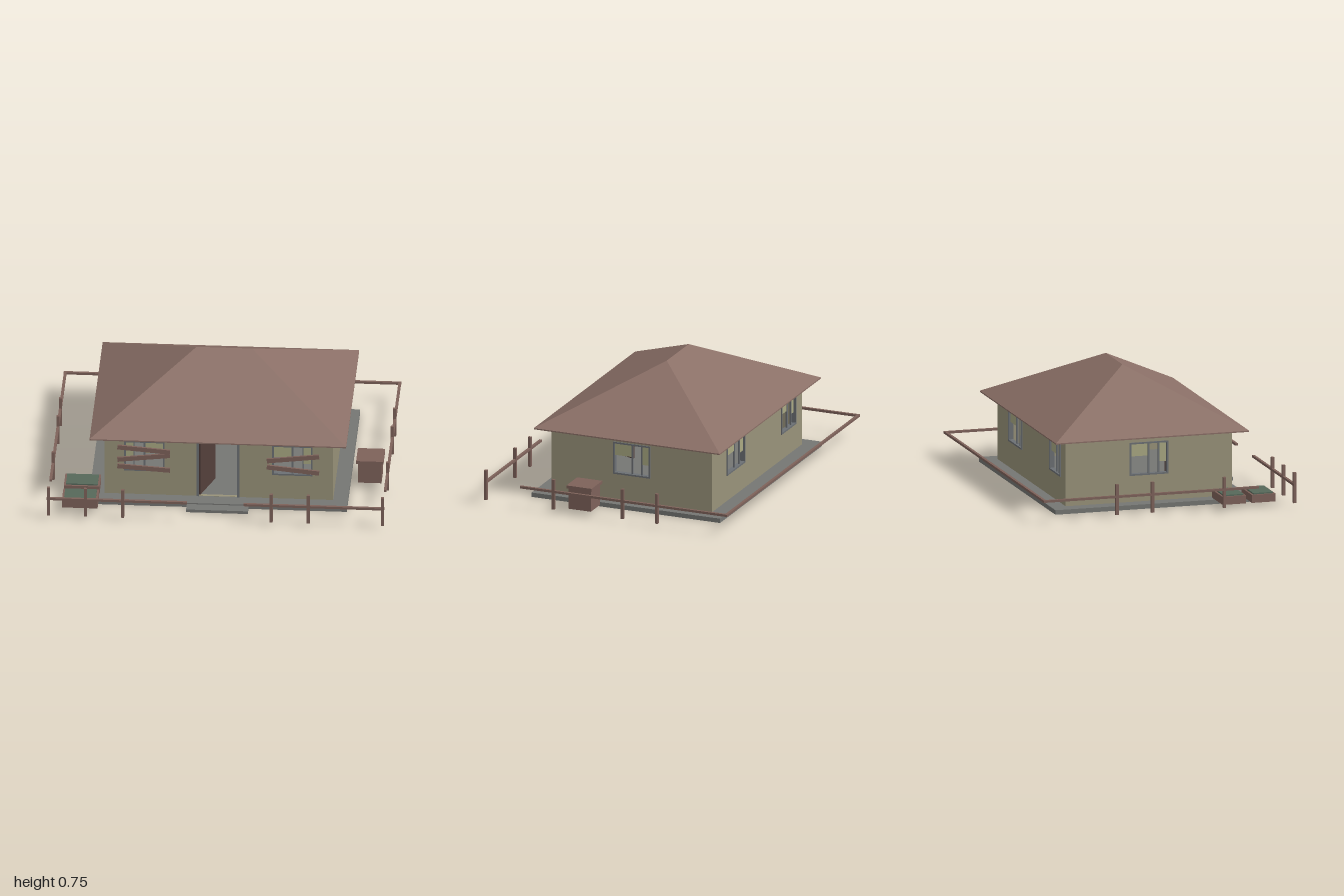
import * as THREE from 'three';

const mat = (name, color, side = THREE.FrontSide) => {
  const m = new THREE.MeshStandardMaterial({ color, side });
  m.name = name;
  return m;
};

export function createModel() {
  const root = new THREE.Group();
  root.name = 'abandonedHouse';
  const M = {
    wall: mat('olive plaster', 0x99937a),
    roof: mat('faded roof', 0x8a6f66, THREE.DoubleSide),
    stone: mat('grey concrete', 0x757673),
    frame: mat('grey frame', 0x6c7074),
    door: mat('dark door', 0x533f3b),
    wood: mat('weathered wood', 0x7e625a),
    plants: mat('dull green', 0x56685a),
    pane: mat('dusty pane', 0xaaa983),
  };

  // box given by its min and max corners
  const box = (parent, name, material, x0, x1, y0, y1, z0, z1) => {
    const m = new THREE.Mesh(new THREE.BoxGeometry(x1 - x0, y1 - y0, z1 - z0), material);
    m.position.set((x0 + x1) / 2, (y0 + y1) / 2, (z0 + z1) / 2);
    m.name = name;
    parent.add(m);
    return m;
  };

  // foundation and door step
  box(root, 'foundation', M.stone, -0.765, 0.765, 0, 0.027, -0.64, 0.572);
  box(root, 'doorStep', M.stone, -0.183, 0.183, 0.002, 0.02, 0.572, 0.64);

  // hipped roof with a thin eave
  const X = 0.76, Z0 = -0.635, Z1 = 0.56, E = 0.43, R = 0.165, ZR = -0.04, H = 0.745;
  const a = [-X, E, Z1], b = [X, E, Z1], c = [X, E, Z0], d = [-X, E, Z0];
  const l = [-R, H, ZR], r = [R, H, ZR];
  const roofGeo = new THREE.BufferGeometry();
  const tris = [a, b, r, a, r, l, b, c, r, c, d, l, c, l, r, d, a, l];
  roofGeo.setAttribute('position', new THREE.Float32BufferAttribute(tris.flat(), 3));
  roofGeo.computeVertexNormals();
  const roof = new THREE.Mesh(roofGeo, M.roof);
  roof.name = 'hippedRoof';
  root.add(roof);
  box(root, 'eave', M.roof, -X, X, 0.422, E - 0.0005, Z0, Z1);

  // window: frame, mullions and leftover panes, local z = 0 at the wall face
  const Y0 = 0.185, Y1 = 0.385, T = 0.02, F = 0.01;
  const addWindow = (parent, cx, w, flip) => {
    const g = new THREE.Group();
    g.name = 'window';
    g.position.x = cx;
    if (flip) g.rotation.y = Math.PI, g.position.z = -T;
    const h = w / 2, zb = -T - 0.005, zf = 0.005;
    for (const s of [-1, 1]) {
      const x = s * (h - F / 2);
      box(g, 'frameSide', M.frame, x - F / 2, x + F / 2, Y0, Y1, zb, zf);
      const y = s < 0 ? Y0 : Y1 - F;
      box(g, 'frameRail', M.frame, -h + F, h - F, y, y + F, zb, zf);
    }
    box(g, 'mullion', M.frame, -0.005, 0.005, Y0 + F, Y1 - F, -0.015, -0.005);
    box(g, 'sashEdge', M.frame, h * 0.52 - 0.004, h * 0.52 + 0.004, Y0 + F, Y1 - F, -0.015, -0.005);
    box(g, 'upperPane', M.pane, -h + F, -0.005, 0.3, Y1 - F, -0.012, -0.008);
    box(g, 'sidePane', M.pane, h * 0.52 + 0.004, h - F, 0.26, Y1 - F, -0.012, -0.008);
    parent.add(g);
  };

  // wall panel with openings, outer face at local z = 0
  const addWall = (name, halfWidth, pos, turn, windows, doorway) => {
    const g = new THREE.Group();
    g.name = name;
    g.position.set(...pos);
    g.rotation.y = turn;
    const rect = (P, x0, x1, y0, y1) => {
      const p = new P();
      p.moveTo(x0, y0); p.lineTo(x1, y0); p.lineTo(x1, y1); p.lineTo(x0, y1);
      p.closePath();
      return p;
    };
    const shape = rect(THREE.Shape, -halfWidth, halfWidth, 0.026, 0.424);
    if (doorway) shape.holes.push(rect(THREE.Path, -0.12, 0.11, 0.028, 0.402));
    for (const [cx, w, flip] of windows) {
      shape.holes.push(rect(THREE.Path, cx - w / 2 + 0.002, cx + w / 2 - 0.002, Y0 + 0.002, Y1 - 0.002));
      addWindow(g, cx, w, flip);
    }
    const geo = new THREE.ExtrudeGeometry(shape, { depth: T, bevelEnabled: false });
    geo.translate(0, 0, -T);
    const m = new THREE.Mesh(geo, M.wall);
    m.name = name + 'Panel';
    g.add(m);
    root.add(g);
    return g;
  };
  const zm = -0.035, hw = 0.515 - T;
  const front = addWall('frontWall', 0.678, [0, 0, 0.48], 0, [[-0.44, 0.24, true], [0.437, 0.24, false]], true);
  addWall('backWall', 0.678, [0, 0, -0.55], Math.PI, [[-0.32, 0.27, false], [0.47, 0.22, false]], false);
  addWall('leftWall', hw, [0.678, 0, zm], Math.PI / 2, [[0, 0.24, false]], false);
  addWall('rightWall', hw, [-0.678, 0, zm], -Math.PI / 2, [[0, 0.24, false]], false);

  // door frame and a door standing open inwards
  for (const x of [-0.13, 0.11]) box(front, 'doorJamb', M.frame, x, x + 0.013, 0.027, 0.412, -0.025, 0.006);
  box(front, 'doorLintel', M.frame, -0.117, 0.11, 0.399, 0.412, -0.025, 0.006);
  const hinge = new THREE.Group();
  hinge.name = 'openDoor';
  hinge.position.set(-0.114, 0, -0.012);
  hinge.rotation.y = 1.22;
  box(hinge, 'doorLeaf', M.door, 0, 0.222, 0.03, 0.397, -0.006, 0.006);
  front.add(hinge);

  // crooked boards nailed over the front windows: x, y at both ends
  for (const [x0, ya, x1, yb] of [
    [-0.6, 0.347, -0.287, 0.322], [-0.6, 0.263, -0.287, 0.3], [-0.6, 0.22, -0.287, 0.2],
    [0.285, 0.284, 0.597, 0.322], [0.285, 0.243, 0.597, 0.212],
  ]) {
    const m = box(root, 'windowBoard', M.wood, x0, x1, 0, 0.028, 0.487, 0.499);
    m.position.y = (ya + yb) / 2;
    m.rotation.z = Math.atan2(yb - ya, x1 - x0);
  }

  // fence: posts and single rails
  const post = (x, z) => box(root, 'fencePost', M.wood, x - 0.009, x + 0.009, 0.027, 0.212, z - 0.009, z + 0.009);
  const rail = (x0, x1, z0, z1) => box(root, 'fenceRail', M.wood, x0, x1, 0.13, 0.144, z0, z1);
  for (const x of [-0.99, -0.77, -0.55, 0.33, 0.55, 0.99]) post(x, 0.77);
  rail(-1, -0.168, 0.762, 0.778);
  rail(0.165, 1, 0.762, 0.778);
  rail(-1, 1, -0.785, -0.769);
  for (const s of [-1, 1]) {
    rail(s * 0.991 - 0.008, s * 0.991 + 0.008, -0.769, 0.548);
    for (const z of [0.335, -0.11, -0.33]) post(s * 0.99, z);
  }

  // lidded crate
  box(root, 'crateBody', M.wood, 0.81, 0.95, 0.027, 0.157, 0.112, 0.257);
  box(root, 'crateLid', M.wood, 0.8, 0.962, 0.157, 0.175, 0.102, 0.264);

  // two planter beds
  for (const z of [0.42, 0.602]) {
    box(root, 'planterBox', M.wood, -0.917, -0.705, 0.027, 0.075, z - 0.073, z + 0.073);
    box(root, 'planterGreen', M.plants, -0.905, -0.717, 0.07, 0.083, z - 0.061, z + 0.061);
  }
  return root;
}
